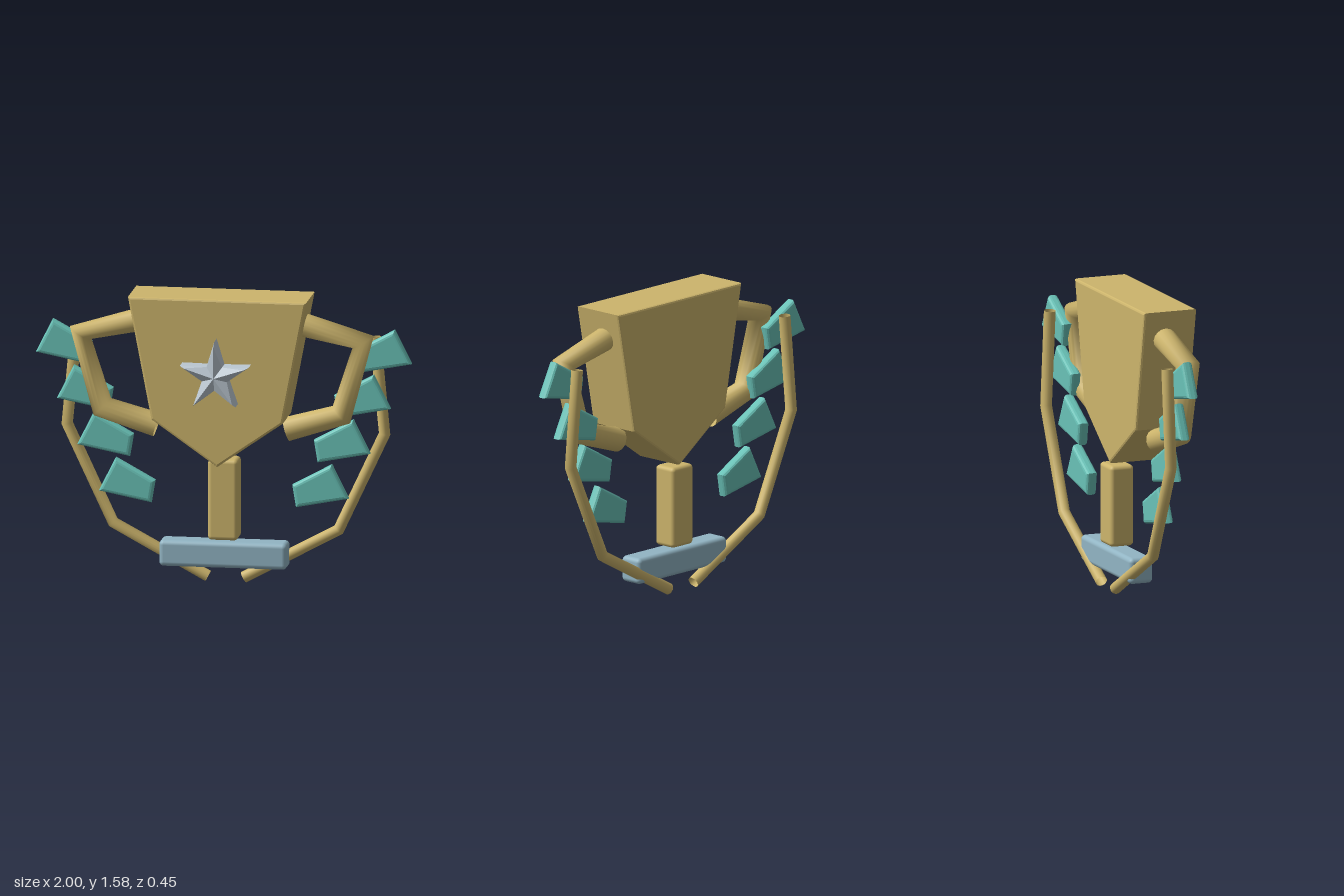
import * as THREE from 'three';
import { RoundedBoxGeometry } from 'three/addons/geometries/RoundedBoxGeometry.js';

// Straight segments between points; rings at the bends lie on the bisecting plane.
class BentPath extends THREE.Curve {
  constructor(points) {
    super();
    this.points = points;
  }
  getPoint(t) {
    const n = this.points.length - 1;
    const i = Math.min(Math.floor(t * n + 1e-6), n - 1);
    return this.points[i].clone().lerp(this.points[i + 1], t * n - i);
  }
  getTangent(t) {
    const p = this.points, i = Math.round(t * (p.length - 1));
    const dir = new THREE.Vector3();
    if (i > 0) dir.add(p[i].clone().sub(p[i - 1]).normalize());
    if (i < p.length - 1) dir.add(p[i + 1].clone().sub(p[i]).normalize());
    return dir.normalize();
  }
  getPointAt(u) { return this.getPoint(u); }
  getTangentAt(u) { return this.getTangent(u); }
}

function bentTube(points, side, z, radius) {
  const path = new BentPath(points.map(([x, y]) => new THREE.Vector3(side * x, y, z)));
  return new THREE.TubeGeometry(path, points.length - 1, radius, 16, false);
}

// Bevelled plate that keeps the given outline and z range.
function plate(outline, zBack, zFront, bevel, steps) {
  const shape = new THREE.Shape(outline.map(([x, y]) => new THREE.Vector2(x, y)));
  return new THREE.ExtrudeGeometry(shape, {
    depth: zFront - zBack - 2 * bevel, bevelEnabled: true, bevelThickness: bevel,
    bevelSize: bevel, bevelOffset: -bevel, bevelSegments: steps,
  }).translate(0, 0, zBack + bevel);
}

// Thick five-pointed star with a ridge along each arm.
function starGeometry(outer, inner, zBack, zEdge, zRidge) {
  const pos = [];
  const at = (r, k, z) => [-r * Math.sin(k * Math.PI / 5), r * Math.cos(k * Math.PI / 5), z];
  const tri = (a, b, c) => pos.push(...a, ...b, ...c);
  const centre = [0, 0, zRidge];
  for (let k = 0; k < 10; k++) {
    const r0 = k % 2 ? inner : outer, r1 = k % 2 ? outer : inner;
    const a = at(r0, k, zEdge), b = at(r1, k + 1, zEdge);
    const a0 = at(r0, k, zBack), b0 = at(r1, k + 1, zBack);
    const ridge = at(outer * 0.88, k % 2 ? k + 1 : k, zRidge);
    tri(a, b, ridge);
    if (k % 2) tri(a, ridge, centre);
    else tri(ridge, b, centre);
    tri(a0, b0, b);
    tri(a0, b, a);
    tri(b0, a0, [0, 0, zBack]);
  }
  const geo = new THREE.BufferGeometry();
  geo.setAttribute('position', new THREE.Float32BufferAttribute(pos, 3));
  geo.computeVertexNormals();
  return geo;
}

export function createModel() {
  const model = new THREE.Group();
  model.name = 'trophyEmblem';

  const material = (name, color) => {
    const m = new THREE.MeshStandardMaterial({ color });
    m.name = name;
    return m;
  };
  const gold = material('gold', 0xcdb56c);
  gold.side = THREE.DoubleSide; // the tubes are open at their ends
  const teal = material('teal', 0x69c2b7);
  const blue = material('paleBlue', 0x92b5c4);
  const silver = material('silver', 0xbcc8d2);

  const add = (name, geometry, mat) => {
    const mesh = new THREE.Mesh(geometry, mat);
    mesh.name = name;
    model.add(mesh);
    return mesh;
  };

  // Cup body, stem and base
  const cup = [[-0.475, 1.585], [-0.35, 0.93], [0, 0.685], [0.35, 0.93], [0.475, 1.585]];
  add('cup', plate(cup, -0.19, 0.11, 0.012, 2), gold);
  add('stem', new RoundedBoxGeometry(0.16, 0.435, 0.135, 3, 0.022), gold)
    .position.set(0, 0.467, -0.148);
  add('base', new RoundedBoxGeometry(0.68, 0.14, 0.135, 3, 0.025), blue)
    .position.set(0, 0.17, -0.148);

  // Star on the front of the cup
  add('star', starGeometry(0.192, 0.07, 0.1, 0.195, 0.228), silver).position.y = 1.186;

  // Handles, wreath stems and leaves, mirrored
  const handle = [[0.4, 1.44], [0.752, 1.35], [0.637, 0.955], [0.345, 0.867]];
  const branch = [[0.095, 0.033], [0.6, 0.305], [0.845, 0.83], [0.795, 1.35]];
  const leaf = [[0.69, 0.915], [0.48, 0.8], [0.5, 0.68], [0.78, 0.735]];
  const leafOffsets = [[-0.115, -0.245], [0, 0], [0.108, 0.245], [0.22, 0.49]];
  for (const side of [1, -1]) {
    const label = side > 0 ? 'left' : 'right';
    add(label + 'Handle', bentTube(handle, side, -0.06, 0.065), gold);
    add(label + 'Branch', bentTube(branch, side, -0.195, 0.031), gold);
    leafOffsets.forEach(([dx, dy], i) => {
      const outline = leaf.map(([x, y]) => [side * (x + dx), y + dy]);
      add(label + 'Leaf' + (i + 1), plate(outline, -0.162, -0.1, 0.02, 3), teal);
    });
  }
  return model;
}
